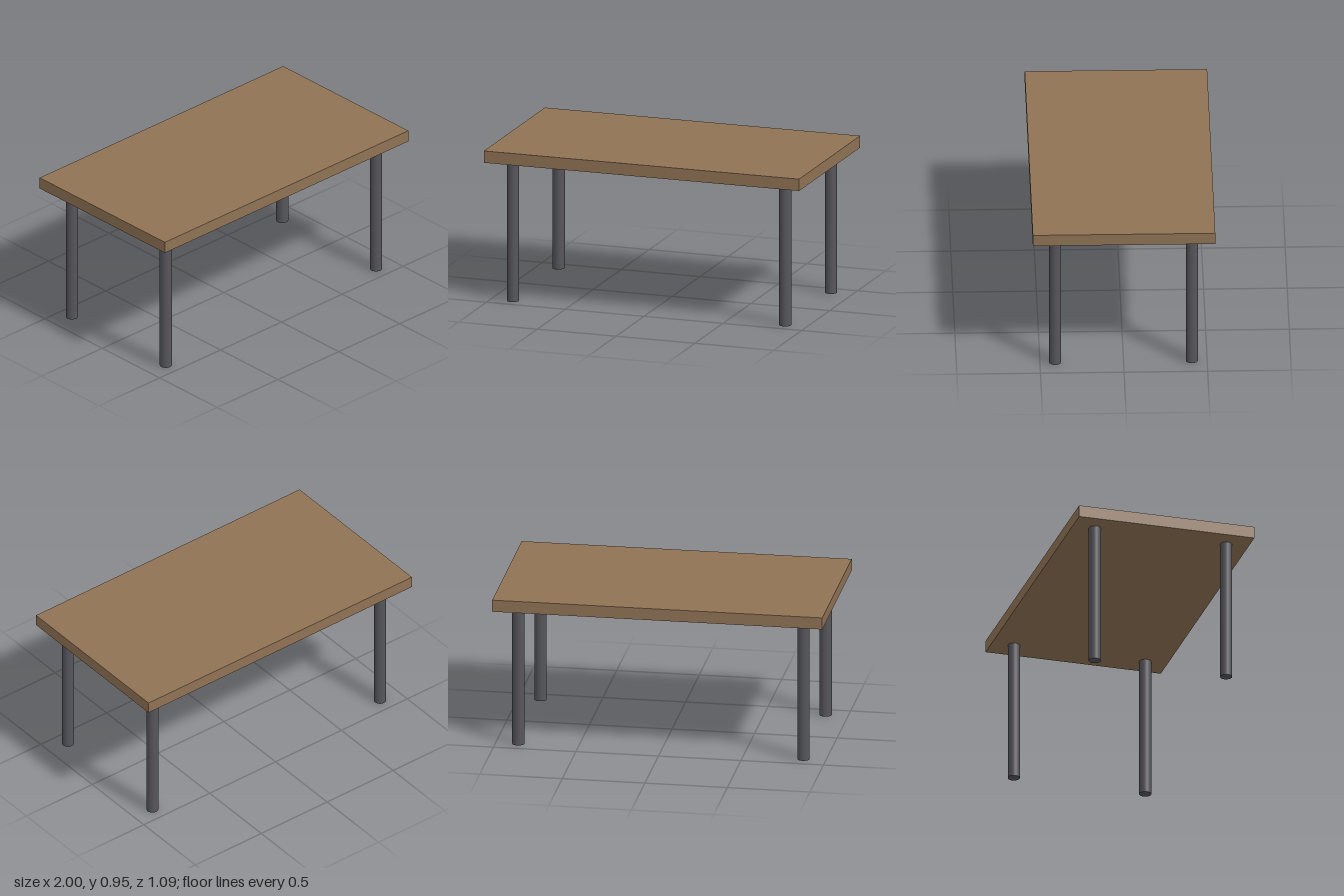
import * as THREE from 'three';

const WIDTH = 2, DEPTH = 1.091, HEIGHT = 0.946, THICKNESS = 0.073;
const LEG_RADIUS = 0.0364, LEG_X = 0.864, LEG_Z = 0.409;

export function createModel() {
  const wood = new THREE.MeshStandardMaterial({ color: 0x8f7254 });
  wood.name = 'brown wood';
  const metal = new THREE.MeshStandardMaterial({ color: 0x55555b });
  metal.name = 'dark grey metal';

  const table = new THREE.Group();
  table.name = 'table';

  // Flat slab top
  const top = new THREE.Mesh(new THREE.BoxGeometry(WIDTH, THICKNESS, DEPTH), wood);
  top.name = 'tableTop';
  top.position.y = HEIGHT - THICKNESS / 2;
  table.add(top);

  // Four round legs, set in from the corners
  const legHeight = HEIGHT - THICKNESS;
  const legGeometry = new THREE.CylinderGeometry(LEG_RADIUS, LEG_RADIUS, legHeight, 32);
  for (const [sideName, sx] of [['Left', 1], ['Right', -1]]) {
    for (const [endName, sz] of [['front', 1], ['back', -1]]) {
      const leg = new THREE.Mesh(legGeometry, metal);
      leg.name = `${endName}${sideName}Leg`;
      leg.position.set(sx * LEG_X, legHeight / 2, sz * LEG_Z);
      table.add(leg);
    }
  }
  return table;
}
